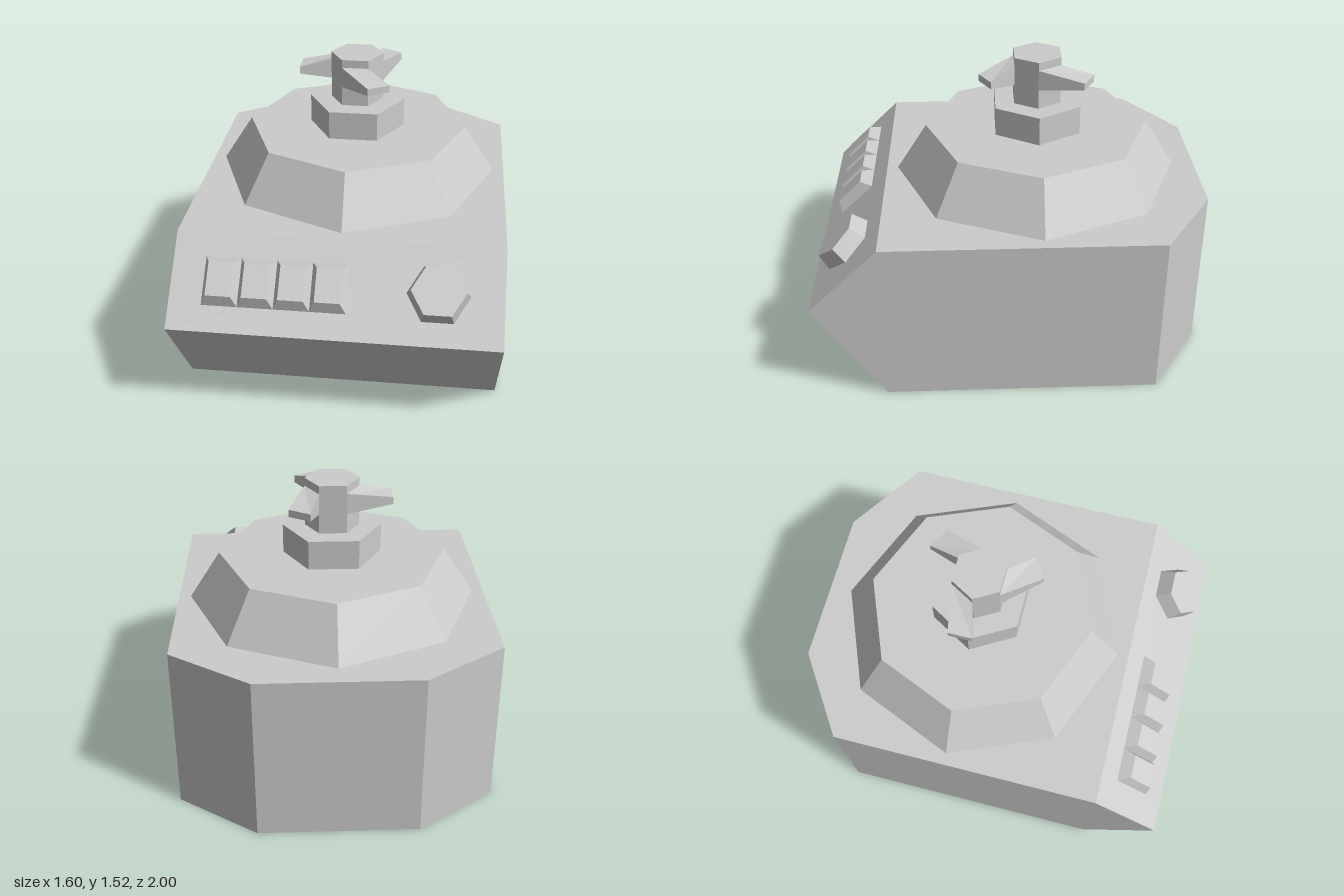
import * as THREE from 'three';

const grey = new THREE.MeshStandardMaterial({ color: 0xcccccc, flatShading: true });
grey.name = 'light grey';

// Closed solid through rings of [x, y, z] points, listed bottom to top, each running +z to +x to -z
function loft(rings) {
  const n = rings[0].length;
  const top = rings[rings.length - 1];
  const points = [];
  const tri = (a, b, c) => points.push(...a, ...b, ...c);
  for (let r = 0; r < rings.length - 1; r++) {
    for (let i = 0; i < n; i++) {
      const j = (i + 1) % n;
      tri(rings[r][i], rings[r][j], rings[r + 1][j]);
      tri(rings[r][i], rings[r + 1][j], rings[r + 1][i]);
    }
  }
  for (let i = 1; i < n - 1; i++) {
    tri(top[0], top[i], top[i + 1]);
    tri(rings[0][0], rings[0][i + 1], rings[0][i]);
  }
  const geometry = new THREE.BufferGeometry();
  geometry.setAttribute('position', new THREE.Float32BufferAttribute(points, 3));
  geometry.computeVertexNormals();
  return geometry;
}

function add(parent, name, geometry, x = 0, y = 0, z = 0) {
  const mesh = new THREE.Mesh(geometry, grey);
  mesh.name = name;
  mesh.position.set(x, y, z);
  parent.add(mesh);
  return mesh;
}

// Faceted cylinder standing on y = 0; hexagons point along x
function prism(topRadius, bottomRadius, height, sides) {
  const geometry = new THREE.CylinderGeometry(topRadius, bottomRadius, height, sides);
  if (sides === 6) geometry.rotateY(Math.PI / 6);
  return geometry.translate(0, height / 2, 0);
}

export function createModel() {
  const model = new THREE.Group();
  model.name = 'blenderBase';

  // Housing with a wedge-shaped front and chamfered back corners
  const outline = (y, front) => [
    [-0.8, y, front], [0.8, y, front], [0.8, y, -0.73],
    [0.4, y, -1], [-0.4, y, -1], [-0.8, y, -0.73],
  ];
  add(model, 'housing', loft([outline(0, 0.65), outline(0.53, 1), outline(0.87, 0.65)]));

  // Octagonal collar with the drive hub and shaft
  const drive = new THREE.Group();
  drive.name = 'drive';
  drive.position.z = -0.147;
  model.add(drive);
  add(drive, 'collar', prism(0.58, 0.74, 0.25, 8), 0, 0.87);
  add(drive, 'hub', prism(0.25, 0.25, 0.15, 6), 0, 1.12);
  add(drive, 'shaft', prism(0.137, 0.137, 0.25, 6), 0, 1.27);

  // Three tapering blades, each rooted on one face of the shaft
  const bladeRing = (rootY, tipY) => [
    [-0.068, rootY, -0.119], [-0.3, tipY, -0.078], [-0.3, tipY, 0.042], [-0.137, rootY, 0],
  ];
  const blade = loft([bladeRing(1.372, 1.405), bladeRing(1.478, 1.442)]);
  for (let i = 0; i < 3; i++) {
    add(drive, 'blade', blade).rotation.y = (i * Math.PI * 2) / 3;
  }

  // Controls on the sloping panel; local y points out of the panel
  const controls = new THREE.Group();
  controls.name = 'controls';
  controls.position.set(0, 0.703, 0.822);
  controls.rotation.x = Math.atan2(0.34, 0.35);
  model.add(controls);

  const rectangle = (y, w, d) => [[-w, y, d], [w, y, d], [w, y, -d], [-w, y, -d]];
  const button = loft([rectangle(0, 0.087, 0.12), rectangle(0.055, 0.061, 0.083)]);
  for (let i = 0; i < 4; i++) add(controls, 'button', button, -0.553 + i * 0.174);

  add(controls, 'knob', prism(0.131, 0.153, 0.088, 6), 0.488);

  return model;
}
